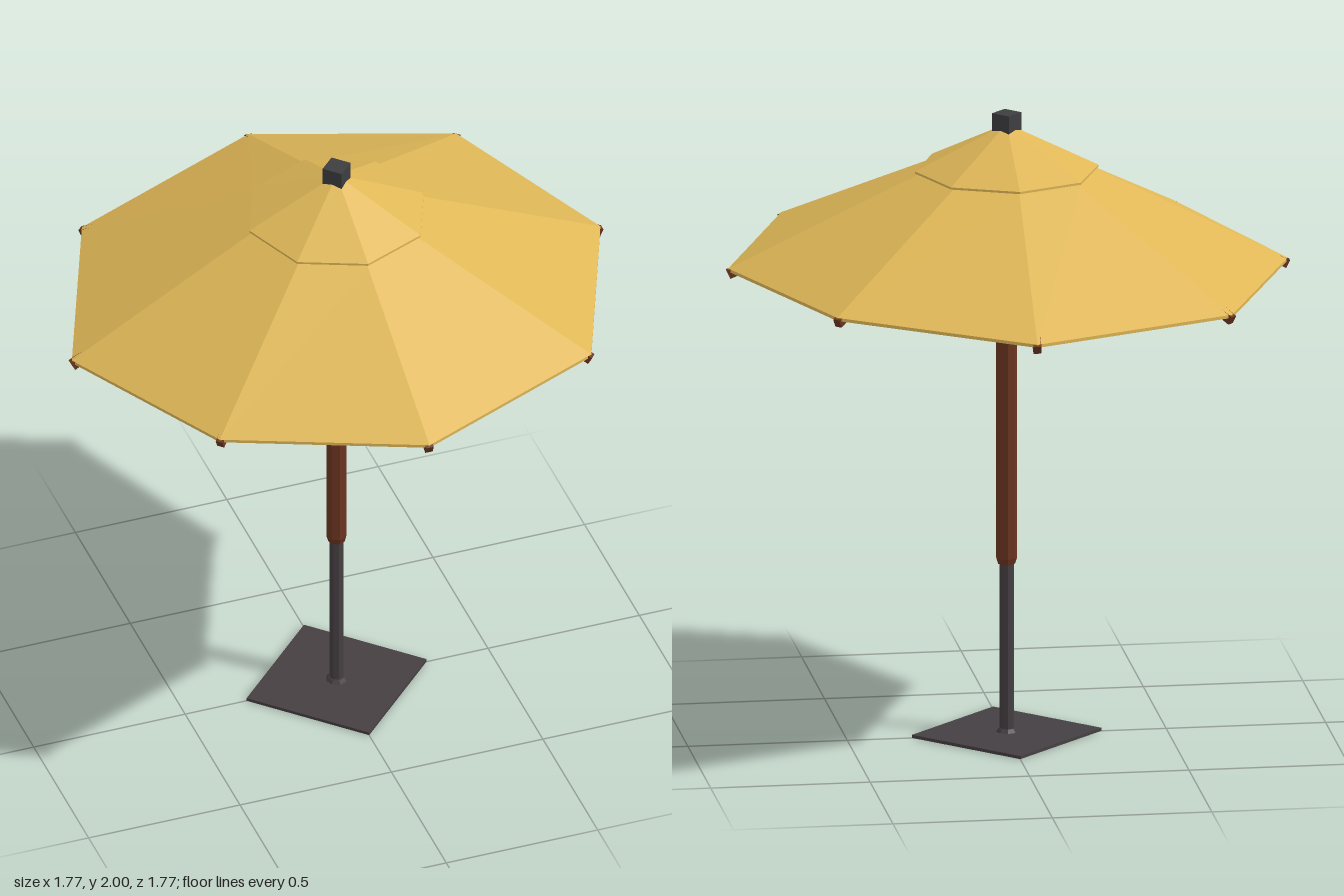
import * as THREE from 'three';

const material = (name, color, extra = {}) =>
  Object.assign(new THREE.MeshStandardMaterial({ color, flatShading: true, ...extra }), { name });

// Eight slightly uneven corners of the canopy rim, going round from +x towards +z
const RIM = [
  [0.875, 1.535, -0.01], [0.62, 1.54, 0.61], [-0.01, 1.535, 0.875], [-0.61, 1.53, 0.62],
  [-0.885, 1.492, 0.03], [-0.62, 1.49, -0.61], [0.03, 1.492, -0.885], [0.62, 1.53, -0.62],
].map((p) => new THREE.Vector3(...p));

const ring = (radius, y) => RIM.map((_, i) => {
  const a = (i * Math.PI) / 4;
  return new THREE.Vector3(Math.cos(a) * radius, y, Math.sin(a) * radius);
});

// Skin between successive rings of eight points, from the inside out
function panels(rings) {
  const points = [];
  for (let r = 0; r < rings.length - 1; r++) {
    const inner = rings[r], outer = rings[r + 1];
    for (let i = 0; i < 8; i++) {
      const j = (i + 1) % 8;
      points.push(inner[i], outer[j], outer[i], inner[i], inner[j], outer[j]);
    }
  }
  const geometry = new THREE.BufferGeometry().setFromPoints(points);
  geometry.computeVertexNormals();
  return geometry;
}

// Straight bar of rectangular section between two points
function bar(name, from, to, width, height, mat) {
  const mesh = new THREE.Mesh(new THREE.BoxGeometry(width, height, from.distanceTo(to)), mat);
  mesh.name = name;
  mesh.position.copy(from).lerp(to, 0.5);
  mesh.lookAt(to);
  return mesh;
}

export function createModel() {
  const fabric = material('yellow fabric', 0xdfb757, { side: THREE.DoubleSide });
  const wood = material('brown wood', 0x6a3520);
  const metal = material('dark metal', 0x453f42);
  const plastic = material('charcoal hub', 0x3e3e41);

  const model = new THREE.Group();
  model.name = 'parasol';

  const add = (name, geometry, mat) => {
    const mesh = new THREE.Mesh(geometry, mat);
    mesh.name = name;
    model.add(mesh);
    return mesh;
  };
  // Upright prism between two heights
  const post = (name, rTop, rBottom, y0, y1, sides, mat) => {
    const mesh = add(name, new THREE.CylinderGeometry(rTop, rBottom, y1 - y0, sides), mat);
    mesh.position.y = (y0 + y1) / 2;
    return mesh;
  };

  // Stand and pole
  post('basePlate', 0.297, 0.297, 0, 0.01, 4, metal);
  post('baseCollar', 0.026, 0.034, 0.01, 0.022, 8, metal);
  post('baseTube', 0.023, 0.023, 0.01, 0.56, 8, metal);
  post('poleFoot', 0.033, 0.027, 0.55, 0.57, 8, wood);
  post('pole', 0.033, 0.033, 0.57, 1.92, 8, wood);

  // Sliding hub and top finial
  post('hubSleeve', 0.05, 0.048, 1.295, 1.40, 8, plastic);
  post('hubCrown', 0.058, 0.056, 1.40, 1.475, 8, plastic);
  post('finial', 0.046, 0.046, 1.935, 2.0, 4, plastic);

  // Main canopy with a short hem, and the raised vent cap above it
  const hem = RIM.map((p) => p.clone().setY(p.y - 0.01));
  add('canopy', panels([ring(0.2, 1.845), ring(0.285, 1.808), RIM, hem]), fabric);
  add('ventCap', panels([ring(0.03, 1.95), ring(0.288, 1.822), ring(0.288, 1.815)]), fabric);

  // Ribs below the seams, each braced by a pair of struts from the hub
  RIM.forEach((corner, i) => {
    const out = new THREE.Vector3(corner.x, 0, corner.z).normalize();
    const side = new THREE.Vector3(-out.z, 0, out.x);
    const at = (radius, y, shift = 0) =>
      out.clone().multiplyScalar(radius).addScaledVector(side, shift).setY(y);
    const tip = corner.clone().setY(corner.y - 0.018);
    const shoulder = at(0.27, 1.79);
    const arm = new THREE.Group();
    arm.name = `ribAssembly${i + 1}`;
    arm.add(
      bar('upperRib', at(0.03, 1.895), shoulder, 0.022, 0.026, wood),
      bar('rib', shoulder, tip, 0.024, 0.028, wood),
    );
    const joint = shoulder.clone().lerp(tip, 0.32);
    for (const s of [-1, 1]) {
      const end = joint.clone().addScaledVector(side, s * 0.018);
      arm.add(bar('strut', at(0.045, 1.465, s * 0.012), end, 0.012, 0.024, wood));
    }
    model.add(arm);
  });

  return model;
}
